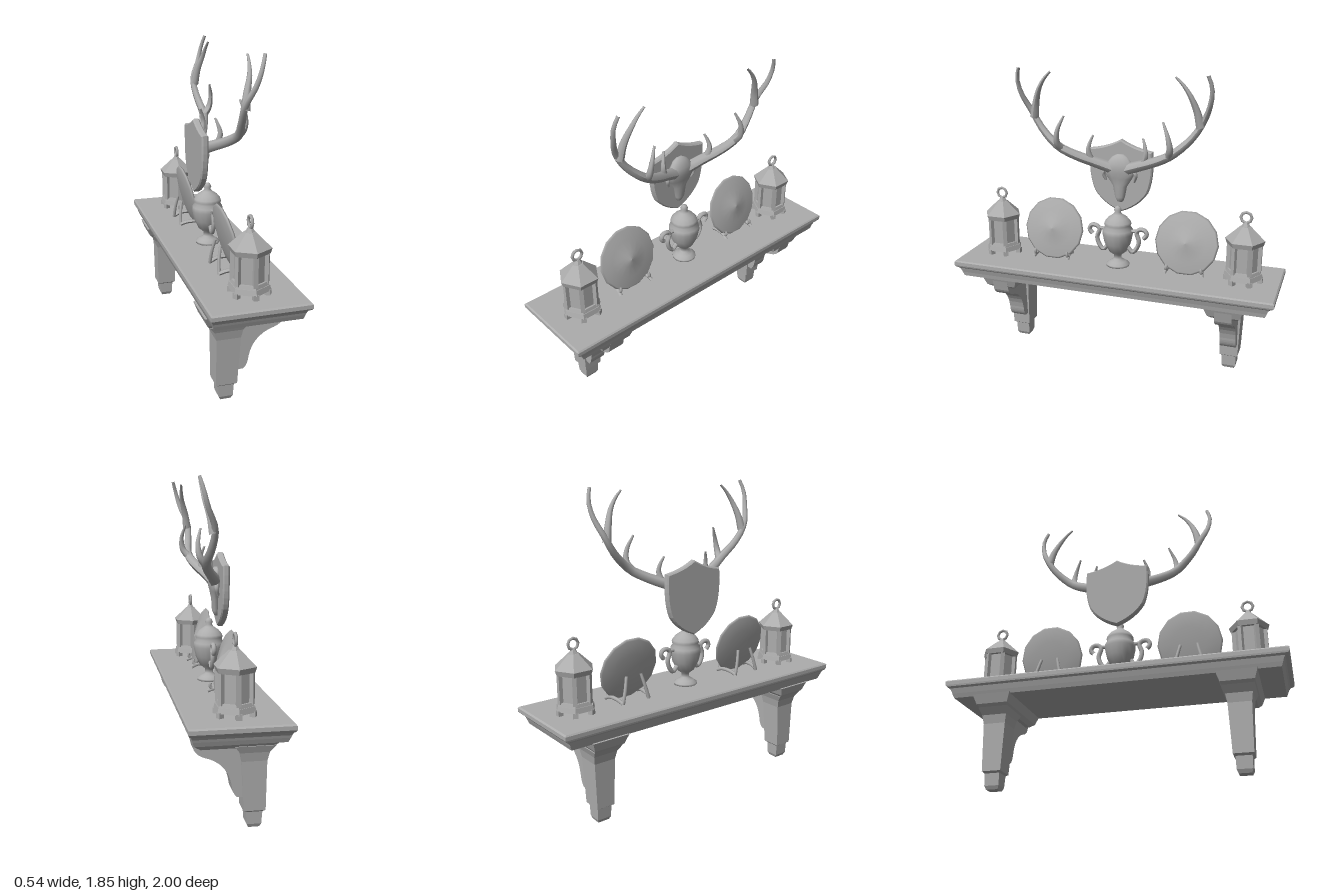
import * as THREE from 'three';

const stone = new THREE.MeshStandardMaterial({ color: 0xadadad });
stone.name = 'light grey stone';

function add(parent, name, geo, x = 0, y = 0, z = 0) {
  const m = new THREE.Mesh(geo, stone);
  m.name = name;
  m.position.set(x, y, z);
  parent.add(m);
  return m;
}

// Closed solid through rings of [x, y, z] corners, listed bottom to top
function loft(rings, smooth = false) {
  const n = rings[0].length, idx = [];
  for (let r = 0; r < rings.length - 1; r++) {
    for (let i = 0; i < n; i++) {
      const a = r * n + i, b = r * n + (i + 1) % n;
      idx.push(a, b, b + n, a, b + n, a + n);
    }
  }
  const top = (rings.length - 1) * n;
  for (let i = 1; i < n - 1; i++) idx.push(0, i + 1, i, top, top + i, top + i + 1);
  let g = new THREE.BufferGeometry();
  g.setAttribute('position', new THREE.Float32BufferAttribute(rings.flat(2), 3));
  g.setIndex(idx);
  if (!smooth) g = g.toNonIndexed();
  g.computeVertexNormals();
  return g;
}
const rect = ([y, x0, x1, hz]) => [[x0, y, -hz], [x0, y, hz], [x1, y, hz], [x1, y, -hz]];
const oval = ([y, cx, rx, rz]) => Array.from({ length: 12 }, (_, i) => {
  const a = i / 12 * Math.PI * 2;
  return [cx + Math.sin(a) * rx, y, Math.cos(a) * rz];
});

// Tube whose radius runs from r0 to r1
function taperTube(points, r0, r1, segs = 20, sides = 7) {
  const curve = new THREE.CatmullRomCurve3(points.map(p => new THREE.Vector3(...p)));
  const g = new THREE.TubeGeometry(curve, segs, 1, sides);
  const pos = g.attributes.position, v = new THREE.Vector3();
  for (let i = 0; i < pos.count; i++) {
    const t = Math.floor(i / (sides + 1)) / segs, c = curve.getPointAt(t);
    v.fromBufferAttribute(pos, i).sub(c).multiplyScalar(r0 + (r1 - r0) * t).add(c);
    pos.setXYZ(i, v.x, v.y, v.z);
  }
  g.computeVertexNormals();
  return g;
}
const lathe = (pts, sides) => new THREE.LatheGeometry(pts.map(p => new THREE.Vector2(...p)), sides);

function bracket() {
  const g = new THREE.Group();
  g.name = 'bracket';
  add(g, 'bracketPost', loft([
    [0, -.145, -.085, .035], [.02, -.155, -.075, .043], [.09, -.16, -.07, .045], [.1, -.175, -.055, .056],
    [.38, -.178, -.04, .066], [.43, -.19, -.03, .075], [.47, -.22, 0, .09]].map(rect)));
  add(g, 'bracketCap', loft([[.46, -.21, .18, .075], [.485, -.235, .215, .095], [.54, -.255, .235, .115]].map(rect)));
  // curved corbel reaching forward
  const s = new THREE.Shape();
  s.moveTo(-.1, .18);
  s.lineTo(-.02, .18);
  s.quadraticCurveTo(.005, .2, .01, .25);
  s.quadraticCurveTo(.03, .36, .13, .4);
  s.quadraticCurveTo(.21, .42, .215, .47);
  s.lineTo(.23, .53);
  s.lineTo(-.1, .53);
  add(g, 'corbel', new THREE.ExtrudeGeometry(s, { depth: .1, bevelEnabled: false, curveSegments: 6 }), 0, 0, -.05);
  return g;
}

function lantern() {
  const g = new THREE.Group();
  g.name = 'lantern';
  const hex = (name, rTop, rBot, y0, y1) =>
    add(g, name, new THREE.CylinderGeometry(rTop, rBot, y1 - y0, 6).toNonIndexed(), 0, (y0 + y1) / 2, 0)
      .geometry.computeVertexNormals();
  hex('lanternBase', .11, .118, .665, .695);
  hex('lanternSill', .1, .106, .695, .715);
  hex('lanternPanes', .088, .088, .71, .88);
  hex('lanternEave', .118, .108, .87, .9);
  hex('lanternRoof', .032, .116, .9, .98);
  hex('lanternCap', .012, .027, .98, 1.005);
  for (let i = 0; i < 6; i++) {
    const a = i * Math.PI / 3, x = Math.sin(a), z = Math.cos(a);
    add(g, 'lanternCornerPost', new THREE.BoxGeometry(.024, .17, .024), x * .091, .79, z * .091).rotation.y = a;
    add(g, 'lanternFoot', new THREE.BoxGeometry(.03, .035, .03), x * .1, .654, z * .1).rotation.y = a;
  }
  add(g, 'lanternRing', new THREE.TorusGeometry(.032, .009, 6, 8), 0, 1.033, 0).rotation.y = Math.PI / 2;
  return g;
}

function plate() {
  const g = new THREE.Group();
  g.name = 'displayPlate';
  const disc = lathe([[0, -.02], [.1, -.02], [.185, -.006], [.196, .004], [.185, .014],
    [.12, .02], [.05, .036], [0, .048]], 14);
  add(g, 'plateDisc', disc, -.02, .828, 0).rotation.z = -(Math.PI / 2 - .23);
  // easel legs
  for (const s of [-1, 1]) {
    add(g, 'easelLeg', taperTube([[-.085, .65, s * .09], [-.04, .665, s * .1], [.025, .665, s * .108],
      [.06, .65, s * .115]], .012, .011, 10, 6));
    add(g, 'easelHook', taperTube([[.035, .66, s * .11], [.05, .68, s * .108], [.045, .70, s * .105]], .011, .008, 6, 6));
    add(g, 'easelBack', taperTube([[-.085, .645, s * .09], [-.08, .72, s * .07], [-.065, .80, s * .05]], .011, .009, 6, 6));
  }
  return g;
}

function urn() {
  const g = new THREE.Group();
  g.name = 'urn';
  add(g, 'urnBody', lathe([[0, .635], [.072, .638], [.072, .652], [.05, .668], [.024, .685], [.024, .71],
    [.055, .735], [.082, .79], [.095, .85], [.092, .875], [.078, .895], [.084, .91], [.08, .925],
    [.06, .95], [.028, .972], [.018, .985], [.024, 1], [.016, 1.018], [0, 1.025]], 16));
  for (const s of [-1, 1]) {
    add(g, 'urnHandle', taperTube([[0, .83, s * .165], [0, .855, s * .185], [0, .883, s * .172], [0, .885, s * .14],
      [0, .865, s * .12], [0, .81, s * .135], [0, .76, s * .12], [0, .735, s * .095], [0, .765, s * .065]], .014, .014, 26));
    add(g, 'urnHandleLink', taperTube([[0, .87, s * .08], [0, .872, s * .125]], .011, .011, 4, 6));
  }
  return g;
}

function trophy() {
  const g = new THREE.Group();
  g.name = 'antlerTrophy';
  // backing shield
  const s = new THREE.Shape();
  s.moveTo(0, .98);
  s.quadraticCurveTo(.11, 1.02, .16, 1.1);
  s.quadraticCurveTo(.2, 1.19, .188, 1.35);
  s.quadraticCurveTo(.08, 1.365, 0, 1.413);
  s.quadraticCurveTo(-.08, 1.365, -.188, 1.35);
  s.quadraticCurveTo(-.2, 1.19, -.16, 1.1);
  s.quadraticCurveTo(-.11, 1.02, 0, .98);
  const shield = new THREE.ExtrudeGeometry(s, { depth: .025, bevelSize: .008, bevelThickness: .008, bevelSegments: 1, curveSegments: 6 });
  add(g, 'shield', shield, -.082, 0, 0).rotation.y = Math.PI / 2;
  // skull: [y, centre x, half depth, half width]
  add(g, 'skull', loft([[1.04, -.045, .012, .018], [1.07, -.04, .022, .032], [1.14, -.04, .026, .045],
    [1.19, -.035, .03, .078], [1.23, -.03, .035, .098], [1.28, -.03, .037, .085], [1.32, -.04, .025, .05],
    [1.335, -.045, .01, .02]].map(oval), true));
  for (const d of [-1, 1]) {
    const branch = (name, pts, r0, r1) => add(g, name, taperTube(pts.map(([x, y, z]) => [x, y, z * d]), r0, r1));
    branch('cheekBone', [[-.04, 1.26, .05], [-.03, 1.22, .1], [-.04, 1.17, .09]], .02, .008);
    branch('antlerBeam', [[-.03, 1.25, .05], [0, 1.285, .14], [.045, 1.33, .25], [.075, 1.385, .35], [.06, 1.48, .455],
      [.055, 1.58, .52], [.1, 1.69, .565], [.125, 1.78, .576], [.145, 1.85, .556]], .036, .01);
    branch('antlerFork', [[.06, 1.55, .505], [.075, 1.64, .485], [.1, 1.73, .45], [.11, 1.79, .41], [.115, 1.83, .37]], .027, .006);
    branch('antlerMiddleTine', [[.07, 1.37, .33], [.11, 1.42, .345], [.12, 1.49, .335], [.1, 1.575, .3]], .025, .006);
    branch('antlerBrowTine', [[.01, 1.29, .16], [.025, 1.36, .178], [.015, 1.41, .17], [0, 1.45, .155]], .022, .006);
  }
  return g;
}

export function createModel() {
  const model = new THREE.Group();
  model.name = 'mantelShelf';
  // moulded shelf board
  add(model, 'shelf', loft([[.535, -.24, .24, .95], [.56, -.25, .245, .96], [.575, -.255, .25, .965], [.59, -.26, .255, .975],
    [.6, -.27, .268, .99], [.61, -.272, .272, 1], [.632, -.272, .272, 1], [.64, -.265, .265, .992]].map(rect)));
  model.add(urn(), trophy());
  for (const s of [-1, 1]) {
    for (const [make, z] of [[bracket, .71], [lantern, .78], [plate, .43]]) {
      const part = make();
      part.position.z = s * z;
      model.add(part);
    }
  }
  return model;
}
